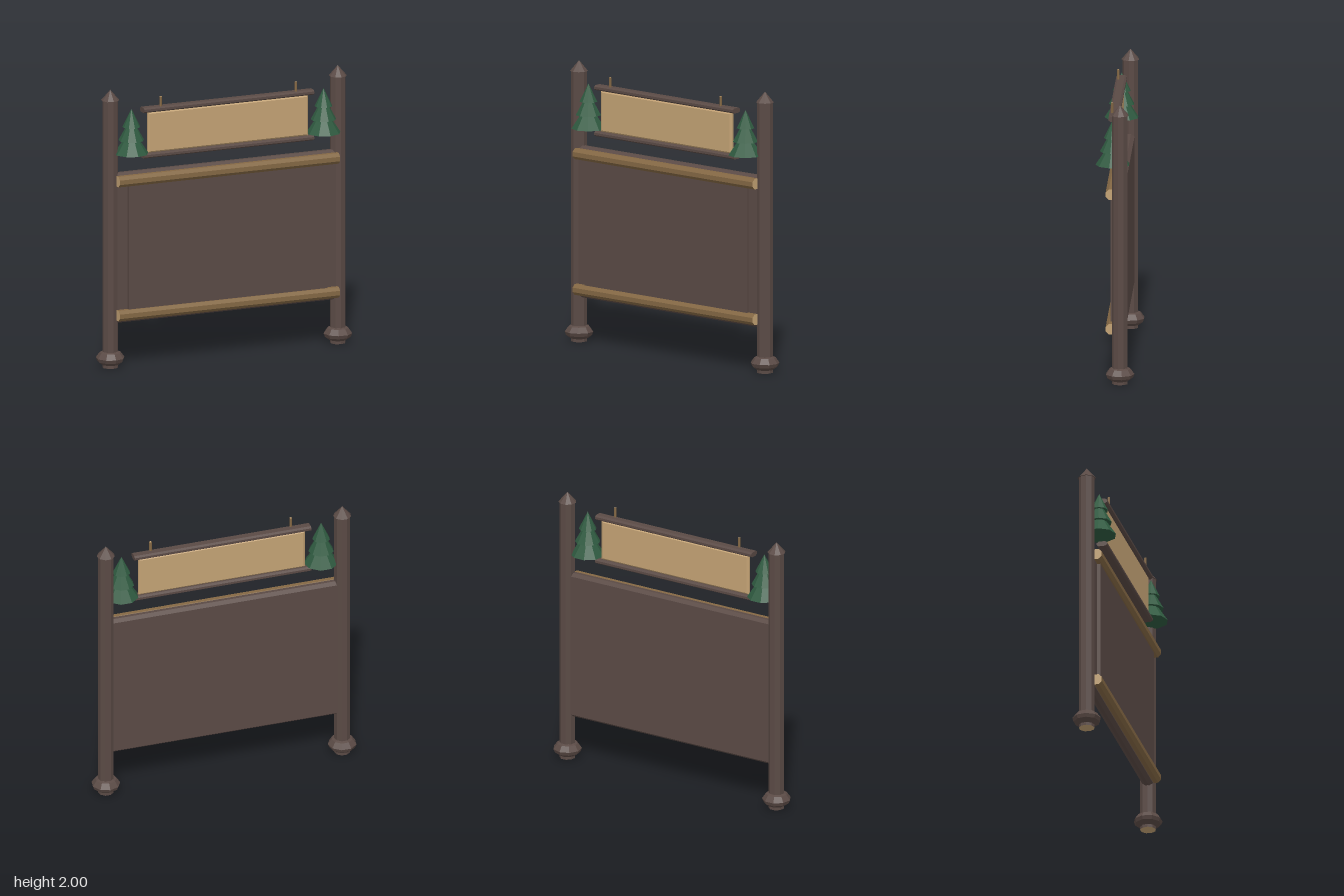
import * as THREE from 'three';

const mat = (name, color) => {
  const m = new THREE.MeshStandardMaterial({ color, flatShading: true });
  m.name = name;
  return m;
};

export function createModel() {
  const darkWood = mat('darkWood', 0x5a4a45);
  const railWood = mat('railWood', 0x846844);
  const cutWood = mat('cutWood', 0xc3a274);
  const pine = mat('pineGreen', 0x2f5a40);

  const model = new THREE.Group();
  model.name = 'noticeBoard';

  const add = (parent, name, geometry, material, x = 0, y = 0, z = 0) => {
    const mesh = new THREE.Mesh(geometry, material);
    mesh.name = name;
    mesh.position.set(x, y, z);
    parent.add(mesh);
    return mesh;
  };

  // Horizontal bar along x with chamfered long edges; group 0 is the ends
  const bar = (length, height, depth, cy, cz) => {
    const h = height / 2, d = depth / 2;
    const pts = [
      [d, -h + cy], [d, h - cy], [d - cz, h], [-d + cz, h],
      [-d, h - cy], [-d, -h + cy], [-d + cz, -h], [d - cz, -h],
    ].map(([x, y]) => new THREE.Vector2(x, y));
    const g = new THREE.ExtrudeGeometry(new THREE.Shape(pts), { depth: length, bevelEnabled: false });
    g.translate(0, 0, -length / 2);
    g.rotateY(Math.PI / 2);
    return g;
  };

  const lathe = (points, sides) =>
    new THREE.LatheGeometry(points.map(([r, y]) => new THREE.Vector2(r, y)), sides);

  // Posts with pointed caps and bulging feet
  for (const [side, x] of [['right', -0.877], ['left', 0.863]]) {
    const post = new THREE.Group();
    post.name = `${side}Post`;
    post.position.set(x, 0, -0.035);
    const shaft = new THREE.CylinderGeometry(0.056, 0.056, 1.93, 9);
    add(post, 'shaft', shaft, [darkWood, darkWood, cutWood], 0, 0.965, 0);
    add(post, 'cap', new THREE.ConeGeometry(0.064, 0.075, 9), darkWood, 0, 1.9625, 0);
    const foot = lathe([
      [0, 0.022], [0.06, 0.022], [0.092, 0.045], [0.102, 0.07], [0.075, 0.108], [0.05, 0.118], [0, 0.118],
    ], 9);
    add(post, 'foot', foot, darkWood).rotation.y = side === 'left' ? 0.35 : 0;
    model.add(post);
  }

  // Main board with a raised front panel
  add(model, 'backBoard', bar(1.67, 1.08, 0.075, 0.02, 0.025), darkWood, -0.005, 0.86, -0.0275);
  add(model, 'frontPanel', new THREE.BoxGeometry(1.52, 0.96, 0.03), darkWood, -0.005, 0.86, 0.02);

  // Round rails with pale cut ends
  for (const [name, y] of [['lowerRail', 0.382], ['upperRail', 1.348]]) {
    add(model, name, bar(1.685, 0.076, 0.074, 0.022, 0.022), [cutWood, railWood], -0.006, y, 0.029);
  }

  // Header sign between two beams
  const face = new THREE.Shape([
    [-0.6, -0.135], [0.6, -0.135], [0.6, 0.135], [-0.6, 0.135],
  ].map(([x, y]) => new THREE.Vector2(x, y)));
  const sign = new THREE.ExtrudeGeometry(face, {
    depth: 0.016, bevelSize: 0.012, bevelThickness: 0.01, bevelSegments: 1,
  });
  add(model, 'headerSign', sign, cutWood, -0.005, 1.679, 0.01);
  for (const [name, y] of [['headerLowerBeam', 1.516], ['headerUpperBeam', 1.844]]) {
    add(model, name, bar(1.3, 0.036, 0.074, 0.01, 0.014), darkWood, -0.006, y, 0.018);
  }

  // Hanging pegs
  for (const [name, x] of [['rightPeg', -0.522], ['leftPeg', 0.511]]) {
    add(model, name, new THREE.CylinderGeometry(0.009, 0.009, 0.08, 6),
      [railWood, cutWood, cutWood], x, 1.892, 0.035);
  }

  // Three-tier pine trees
  const treeProfile = [
    [0, 1.54], [0.121, 1.54], [0.055, 1.64], [0.09, 1.636],
    [0.036, 1.735], [0.063, 1.731], [0, 1.86],
  ];
  for (const [name, x] of [['rightTree', -0.74], ['leftTree', 0.73]]) {
    add(model, name, lathe(treeProfile, 9), pine, x, 0, 0.02);
  }

  return model;
}
